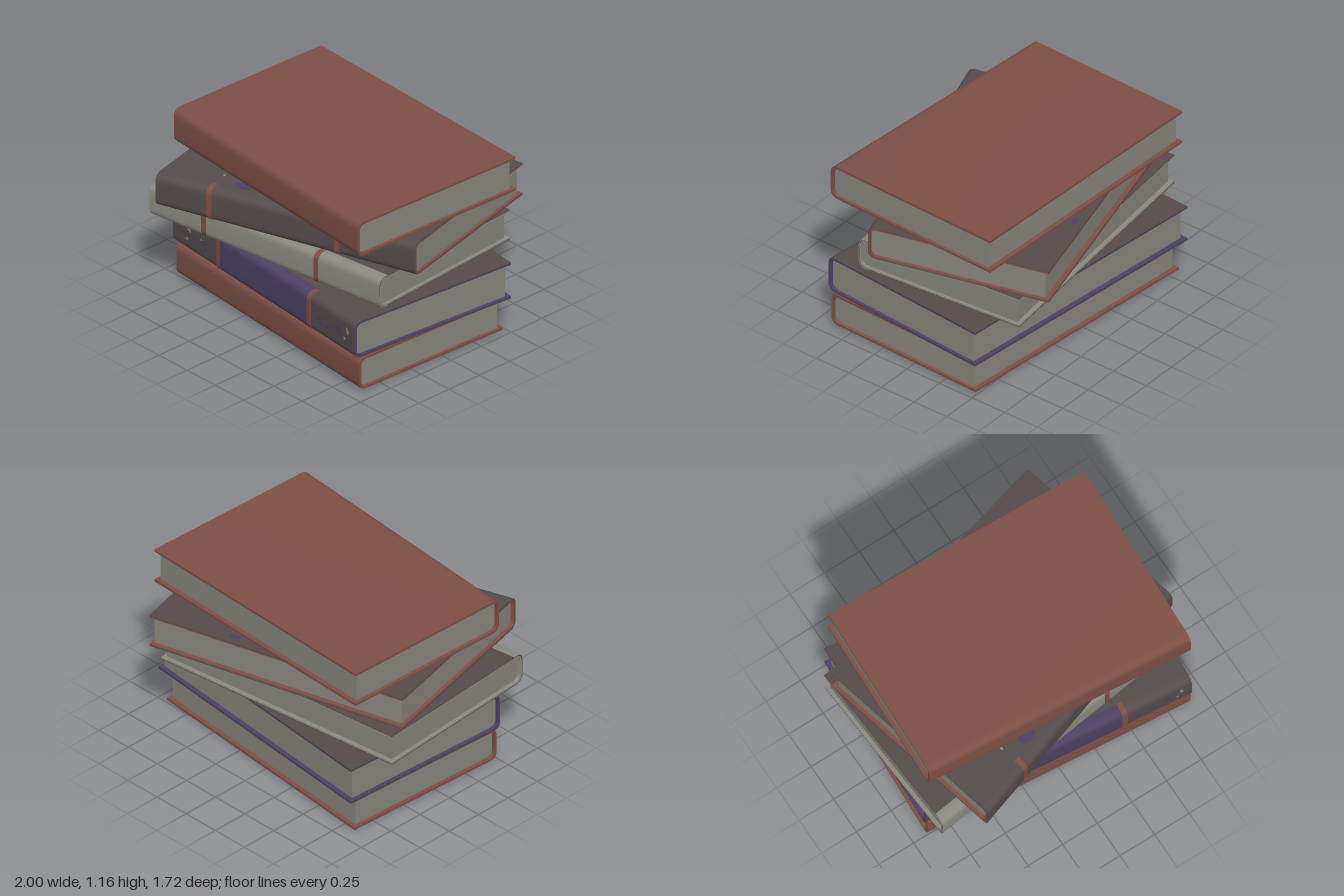
import * as THREE from 'three';
import { toCreasedNormals } from 'three/addons/utils/BufferGeometryUtils.js';

const material = (name, color, side = THREE.FrontSide) => {
  const m = new THREE.MeshStandardMaterial({ color, side });
  m.name = name;
  return m;
};

// Closed outline of a book section (x = depth, y = height), round at the spine
function blockShape(z0, z1, y0, y1, r) {
  const s = new THREE.Shape();
  s.moveTo(z0, y0);
  s.lineTo(z1 - r, y0);
  s.quadraticCurveTo(z1, y0, z1, y0 + r);
  s.lineTo(z1, y1 - r);
  s.quadraticCurveTo(z1, y1, z1 - r, y1);
  s.lineTo(z0, y1);
  s.closePath();
  return s;
}

// C-shaped outline: two boards joined by a rounded spine
function wrapShape(z0, z1, y0, y1, r, t) {
  const s = new THREE.Shape();
  s.moveTo(z0, y0);
  s.lineTo(z1 - r, y0);
  s.quadraticCurveTo(z1, y0, z1, y0 + r);
  s.lineTo(z1, y1 - r);
  s.quadraticCurveTo(z1, y1, z1 - r, y1);
  s.lineTo(z0, y1);
  s.lineTo(z0, y1 - t);
  s.lineTo(z1 - r, y1 - t);
  s.quadraticCurveTo(z1 - t, y1 - t, z1 - t, y1 - r);
  s.lineTo(z1 - t, y0 + r);
  s.quadraticCurveTo(z1 - t, y0 + t, z1 - r, y0 + t);
  s.lineTo(z0, y0 + t);
  s.closePath();
  return s;
}

// Extrude an outline along x, from x0 to x1
function alongX(shape, x0, x1) {
  const g = new THREE.ExtrudeGeometry(shape, { depth: x1 - x0, bevelEnabled: false, curveSegments: 8 });
  return g.rotateY(-Math.PI / 2).translate(x1, 0, 0);
}

const L = 1.8, D = 1.2, R = 0.055;

// Fit a straight book (L by D) to its four plan corners [x, z]
function fitToPlan(geometry, [bl, br, fr, fl]) {
  const p = geometry.attributes.position;
  for (let i = 0; i < p.count; i++) {
    const u = p.getX(i) / L + 0.5, v = p.getZ(i) / D + 0.5;
    const at = k => (1 - v) * ((1 - u) * bl[k] + u * br[k]) + v * ((1 - u) * fl[k] + u * fr[k]);
    p.setX(i, at(0));
    p.setZ(i, at(1));
  }
  return toCreasedNormals(geometry, 0.6);
}

function makeBook({ name, y, h, plan, cover, edge, paper, spines = [], spots = [] }) {
  const book = new THREE.Group();
  book.name = name;
  book.position.y = y;
  const add = (part, geometry, mat) => {
    const mesh = new THREE.Mesh(fitToPlan(geometry, plan), mat);
    mesh.name = part;
    book.add(mesh);
  };
  const b = -D / 2, f = D / 2, x = L / 2;

  // Cloth skin, board lining and page block
  add('cover', alongX(wrapShape(b, f, 0, h, R, 0.005), -x, x), cover);
  add('coverLining', alongX(wrapShape(b, f - 0.005, 0.005, h - 0.005, R, 0.011), -x, x), edge);
  add('pages', alongX(blockShape(b + 0.03, f - 0.015, 0.015, h - 0.015, R), -x + 0.025, x - 0.02), paper);

  // Coloured spine sections and bands: [part, from, to, material, lift]
  for (const [part, x0, x1, mat, lift] of spines) {
    add(part, alongX(wrapShape(f - 0.075, f + lift, -lift, h + lift, R, 0.006), x0, x1), mat);
  }

  // Small worn patches: [x, position, width, length, material, on top?]
  for (const [sx, sp, w, l, mat, top] of spots) {
    const g = new THREE.CircleGeometry(0.5, 9).scale(w, l, 1);
    if (top) g.rotateX(-Math.PI / 2).translate(sx, h + 0.002, sp);
    else g.translate(sx, sp, f + 0.003);
    add('wornPatch', g, mat);
  }
  return book;
}

export function createModel() {
  const red = material('redCloth', 0x7c4f46);
  const dark = material('darkCloth', 0x554b4b);
  const purple = material('purpleCloth', 0x4c4162, THREE.DoubleSide);
  const pale = material('paleCloth', 0x8b8a82, THREE.DoubleSide);
  const paper = material('pagePaper', 0x87857b);

  // Seeded scatter of worn patches on the two outer spine sections
  let seed = 7;
  const rnd = () => (seed = (seed * 16807) % 2147483647) / 2147483647;
  const scatter = [];
  for (const [x0, x1] of [[-0.86, -0.5], [0.5, 0.86]]) {
    for (let i = 0; i < 9; i++) {
      const px = x0 + rnd() * (x1 - x0), py = 0.06 + rnd() * 0.13;
      scatter.push(i % 2 ? [px, py, 0.02, 0.025, pale] : [px, py, 0.06, 0.028, purple]);
    }
  }

  const books = [
    {
      name: 'bottomRedBook', y: 0, h: 0.22, cover: red, edge: red,
      plan: [[-0.84, -0.65], [0.94, -0.48], [0.895, 0.66], [-0.9, 0.5]],
    },
    {
      name: 'purpleSpineBook', y: 0.226, h: 0.25, cover: dark, edge: purple,
      plan: [[-0.86, -0.7], [0.985, -0.51], [0.885, 0.69], [-0.92, 0.51]],
      spines: [
        ['spinePanel', -0.43, 0.43, purple, 0.002],
        ['spineBand', -0.465, -0.43, red, 0.004],
        ['spineBand', 0.43, 0.465, red, 0.004],
      ],
      spots: scatter,
    },
    {
      name: 'paleSpineBook', y: 0.481, h: 0.208, cover: dark, edge: pale,
      plan: [[-1, -0.49], [0.78, -0.69], [0.87, 0.47], [-0.92, 0.7]],
      spines: [
        ['spinePanel', -0.9, 0.9, pale, 0.002],
        ['spineBand', -0.495, -0.46, red, 0.004],
        ['spineBand', 0.385, 0.42, red, 0.004],
      ],
    },
    {
      name: 'darkBook', y: 0.696, h: 0.224, cover: dark, edge: red,
      plan: [[-1, -0.4], [0.71, -0.86], [1, 0.3], [-0.7, 0.86]],
      spines: [
        ['spineBand', -0.545, -0.51, red, 0.003],
        ['spineBand', 0.34, 0.375, red, 0.003],
      ],
      spots: [
        [0.33, -0.54, 0.08, 0.05, purple, true],
        [-0.37, 0.48, 0.13, 0.08, purple, true],
        [-0.54, 0.42, 0.02, 0.02, pale, true],
      ],
    },
    {
      name: 'topRedBook', y: 0.926, h: 0.234, cover: red, edge: red,
      plan: [[-0.86, -0.66], [0.94, -0.59], [0.89, 0.67], [-0.9, 0.52]],
    },
  ];

  const stack = new THREE.Group();
  stack.name = 'bookStack';
  for (const book of books) stack.add(makeBook({ paper, ...book }));
  return stack;
}
